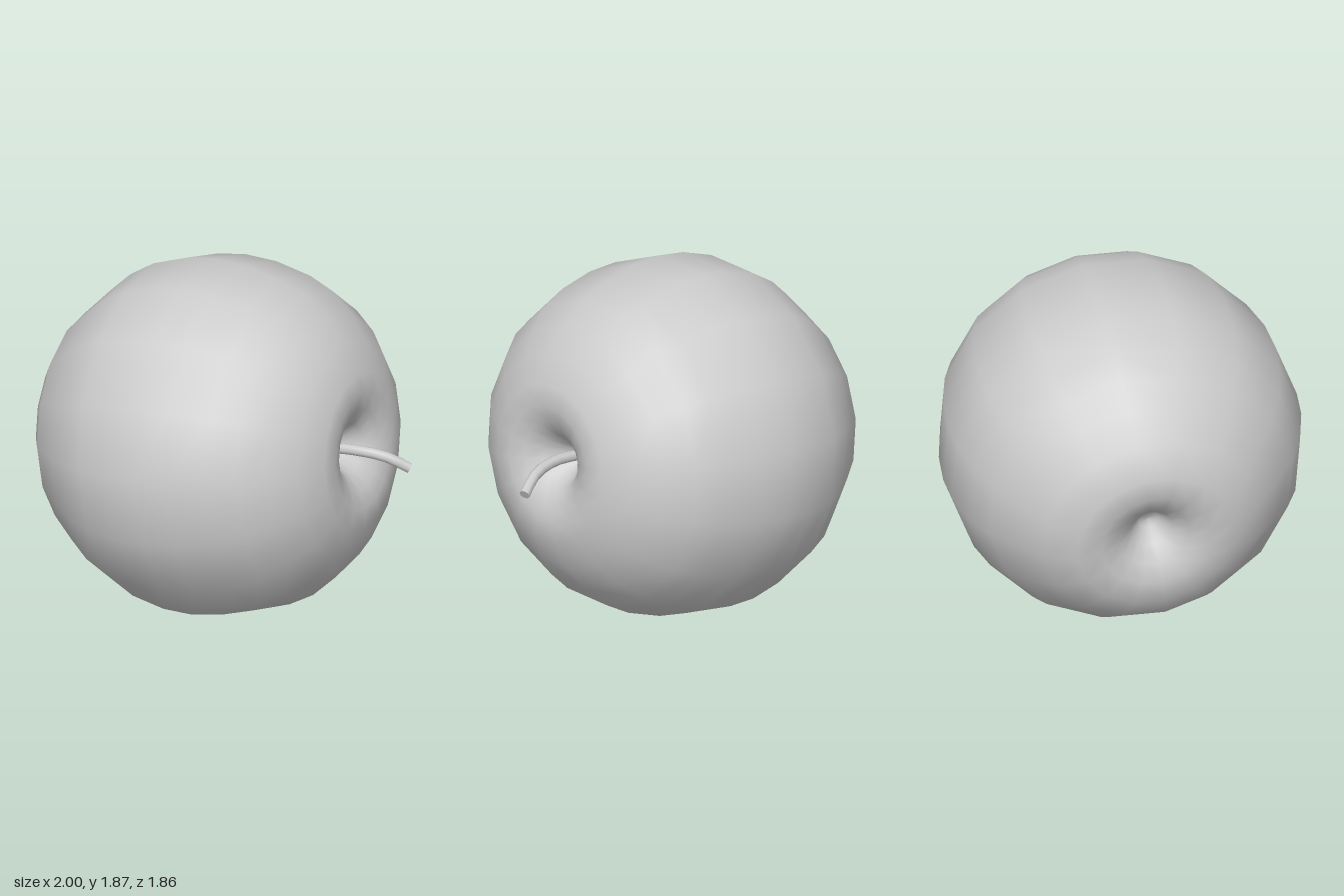
import * as THREE from 'three';

const grey = () => new THREE.MeshStandardMaterial({ color: 0xcccccc });

// Profile of the fruit as [radius, height along the core], blossom end to stem end
const PROFILE = [
  [0, -0.66], [0.05, -0.67], [0.11, -0.74], [0.19, -0.81], [0.29, -0.848], [0.42, -0.848],
  [0.58, -0.755], [0.71, -0.61], [0.81, -0.49], [0.885, -0.35], [0.935, -0.16],
  [0.947, 0], [0.93, 0.18], [0.875, 0.39], [0.81, 0.53], [0.70, 0.665], [0.575, 0.767],
  [0.42, 0.844], [0.31, 0.852], [0.22, 0.825], [0.14, 0.77], [0.075, 0.68], [0.03, 0.61], [0, 0.6],
];

// Fruit lying on its side, core tipped towards the front and slightly up
function makeFruit() {
  const points = PROFILE.map(([r, h]) => new THREE.Vector2(r, h));
  const fruit = new THREE.Mesh(new THREE.LatheGeometry(points, 16), grey());
  fruit.name = 'fruit';
  const core = new THREE.Vector3(0.965, 0.11, 0.24).normalize();
  fruit.quaternion.setFromUnitVectors(new THREE.Vector3(0, 1, 0), core);
  fruit.position.set(-0.08, 0.943, 0);
  return fruit;
}

// Bent stem with a flat cut end
function makeStem() {
  const stem = new THREE.Group();
  stem.name = 'stem';
  const path = new THREE.CatmullRomCurve3([
    new THREE.Vector3(0.48, 1.01, 0.15),
    new THREE.Vector3(0.70, 1.035, 0.198),
    new THREE.Vector3(0.86, 1.018, 0.203),
    new THREE.Vector3(0.983, 0.957, 0.182),
  ]);
  const stalk = new THREE.Mesh(new THREE.TubeGeometry(path, 8, 0.029, 8, false), grey());
  stalk.name = 'stalk';
  const cutEnd = new THREE.Mesh(new THREE.CircleGeometry(0.029, 8), grey());
  cutEnd.name = 'stalkEnd';
  cutEnd.position.copy(path.getPoint(1));
  cutEnd.quaternion.setFromUnitVectors(new THREE.Vector3(0, 0, 1), path.getTangent(1));
  stem.add(stalk, cutEnd);
  return stem;
}

export function createModel() {
  const model = new THREE.Group();
  model.name = 'apple';
  model.add(makeFruit(), makeStem());
  return model;
}
